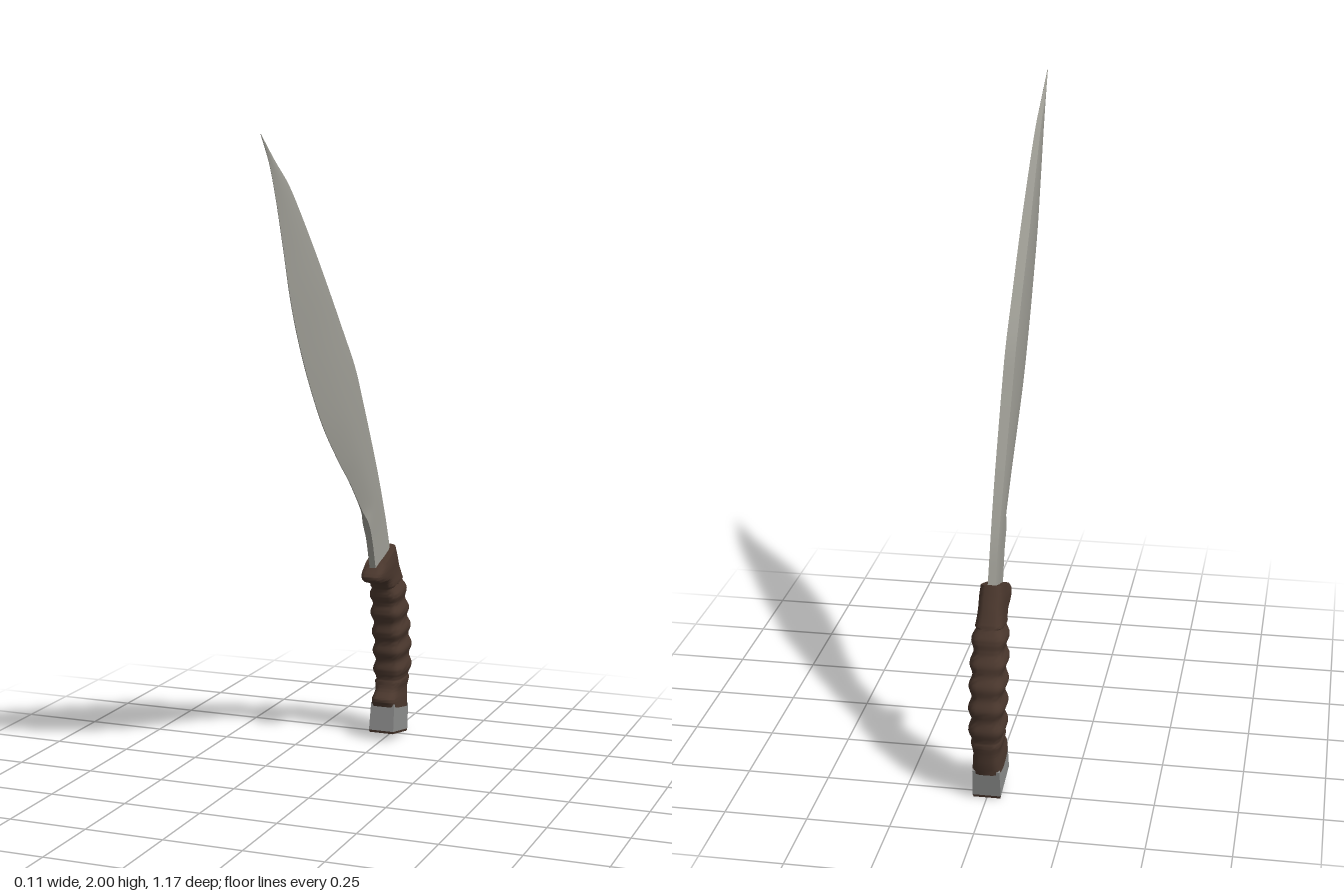
import * as THREE from 'three';
import { toCreasedNormals } from 'three/addons/utils/BufferGeometryUtils.js';

const steel = new THREE.MeshStandardMaterial({ color: 0xa09f97 });
steel.name = 'steel';
const pommelSteel = new THREE.MeshStandardMaterial({ color: 0x8c8d8c });
pommelSteel.name = 'pommel steel';
const wood = new THREE.MeshStandardMaterial({ color: 0x4a372d });
wood.name = 'dark wood';

// Skins closed rings (top to bottom) and caps both ends.
function loft(rings, crease) {
  const n = rings[0].length;
  const pos = [];
  const index = [];
  rings.forEach((r) => r.forEach((p) => pos.push(p.x, p.y, p.z)));
  for (let j = 0; j < rings.length - 1; j++) {
    for (let i = 0; i < n; i++) {
      const a = j * n + i, b = j * n + (i + 1) % n;
      index.push(a, b, b + n, a, b + n, a + n);
    }
  }
  [0, rings.length - 1].forEach((j, end) => {
    const c = new THREE.Vector3();
    rings[j].forEach((p) => c.addScaledVector(p, 1 / n));
    const k = pos.length / 3;
    pos.push(c.x, c.y, c.z);
    for (let i = 0; i < n; i++) {
      const a = j * n + i, b = j * n + (i + 1) % n;
      if (end) index.push(k, a, b);
      else index.push(k, b, a);
    }
  });
  const g = new THREE.BufferGeometry();
  g.setAttribute('position', new THREE.Float32BufferAttribute(pos, 3));
  g.setIndex(index);
  return toCreasedNormals(g, crease);
}

// Stations are [frontZ, frontY, backZ, backY, halfWidth, extra].
// section(halfWidth, extra, y) gives [x, u] with u = 0 at the back and 1 at the front.
function sweep(stations, steps, section, crease) {
  const front = new THREE.CatmullRomCurve3(stations.map((s) => new THREE.Vector3(s[4], s[1], s[0])), false, 'catmullrom', 0.5);
  const back = new THREE.CatmullRomCurve3(stations.map((s) => new THREE.Vector3(s[5] || 0, s[3], s[2])), false, 'catmullrom', 0.5);
  const rings = [];
  for (let j = 0; j <= steps; j++) {
    const f = front.getPoint(j / steps), b = back.getPoint(j / steps);
    rings.push(section(f.x, b.x, (f.y + b.y) / 2).map(([x, u]) =>
      new THREE.Vector3(x, b.y + (f.y - b.y) * u, b.z + (f.z - b.z) * u)));
  }
  return loft(rings, crease);
}

// Forward-curving blade, tip to base; extra is how blunt the front edge is
const bladeStations = [
  [0.59, 2.0, 0.588, 1.998, 0.001, 0.1],
  [0.535, 1.925, 0.50, 1.925, 0.006, 0.05],
  [0.485, 1.82, 0.40, 1.85, 0.010, 0.05],
  [0.43, 1.67, 0.27, 1.715, 0.014, 0.05],
  [0.385, 1.54, 0.14, 1.57, 0.017, 0.05],
  [0.33, 1.42, 0.0, 1.41, 0.018, 0.05],
  [0.245, 1.28, -0.105, 1.285, 0.019, 0.05],
  [0.13, 1.13, -0.175, 1.17, 0.019, 0.05],
  [0.0, 1.005, -0.24, 1.06, 0.018, 0.05],
  [-0.10, 0.92, -0.30, 0.955, 0.017, 0.06],
  [-0.205, 0.815, -0.345, 0.87, 0.016, 0.15],
  [-0.245, 0.765, -0.375, 0.81, 0.015, 0.7],
  [-0.28, 0.70, -0.41, 0.735, 0.014, 0.75],
  [-0.315, 0.59, -0.45, 0.63, 0.014, 0.75],
];
const bladeSection = (w, k) => {
  const mid = Math.max(0.82, k);
  const half = [[0.85, 0], [1, 0.12], [1, 0.4], [mid, 0.7], [k, 1]];
  return [...half.map(([x, u]) => [x * w, u]), ...half.reverse().map(([x, u]) => [-x * w, u])];
};

// Grip with finger guard at the top, ridged middle and flared foot
const gripStations = [
  [-0.305, 0.605, -0.463, 0.66, 0.036],
  [-0.278, 0.58, -0.478, 0.625, 0.04],
  [-0.295, 0.56, -0.492, 0.595, 0.04],
  [-0.36, 0.545, -0.505, 0.565, 0.041],
  [-0.393, 0.50, -0.525, 0.52, 0.047],
  [-0.405, 0.44, -0.545, 0.45, 0.05],
  [-0.42, 0.36, -0.568, 0.375, 0.05],
  [-0.43, 0.28, -0.58, 0.29, 0.05],
  [-0.435, 0.20, -0.577, 0.20, 0.049],
  [-0.425, 0.165, -0.57, 0.155, 0.042],
  [-0.395, 0.14, -0.565, 0.12, 0.045],
  [-0.403, 0.115, -0.557, 0.085, 0.047],
];
const gripSection = (w, k, y) => {
  const ridged = y > 0.19 && y < 0.535 ? Math.cos((2 * Math.PI * (y - 0.5)) / 0.067) : 0;
  const pts = [];
  for (let i = 0; i < 28; i++) {
    const a = (i / 28) * Math.PI * 2;
    const round = (v) => Math.sign(v) * Math.pow(Math.abs(v), 0.55);
    pts.push([round(Math.cos(a)) * (w + 0.005 * ridged), 0.5 + round(Math.sin(a)) * (0.5 + 0.025 * ridged)]);
  }
  return pts;
};

// Four-sided block section
const blockSection = (w) => [[w, 0], [w, 1], [-w, 1], [-w, 0]];

export function createModel() {
  const group = new THREE.Group();
  group.name = 'curvedKnife';
  const add = (name, geometry, material) => {
    const mesh = new THREE.Mesh(geometry, material);
    mesh.name = name;
    group.add(mesh);
  };
  add('blade', sweep(bladeStations, 78, bladeSection, 0.6), steel);
  add('grip', sweep(gripStations, 110, gripSection, 0.9), wood);
  // Metal cap below the grip, closed by a thin wooden plate
  add('pommel', sweep([[-0.411, 0.125, -0.553, 0.095, 0.041], [-0.396, 0.034, -0.539, 0.008, 0.043]], 1, blockSection, 0.3), pommelSteel);
  add('pommelBase', sweep([[-0.396, 0.034, -0.539, 0.008, 0.043], [-0.397, 0.026, -0.537, 0, 0.041]], 1, blockSection, 0.3), wood);
  return group;
}
